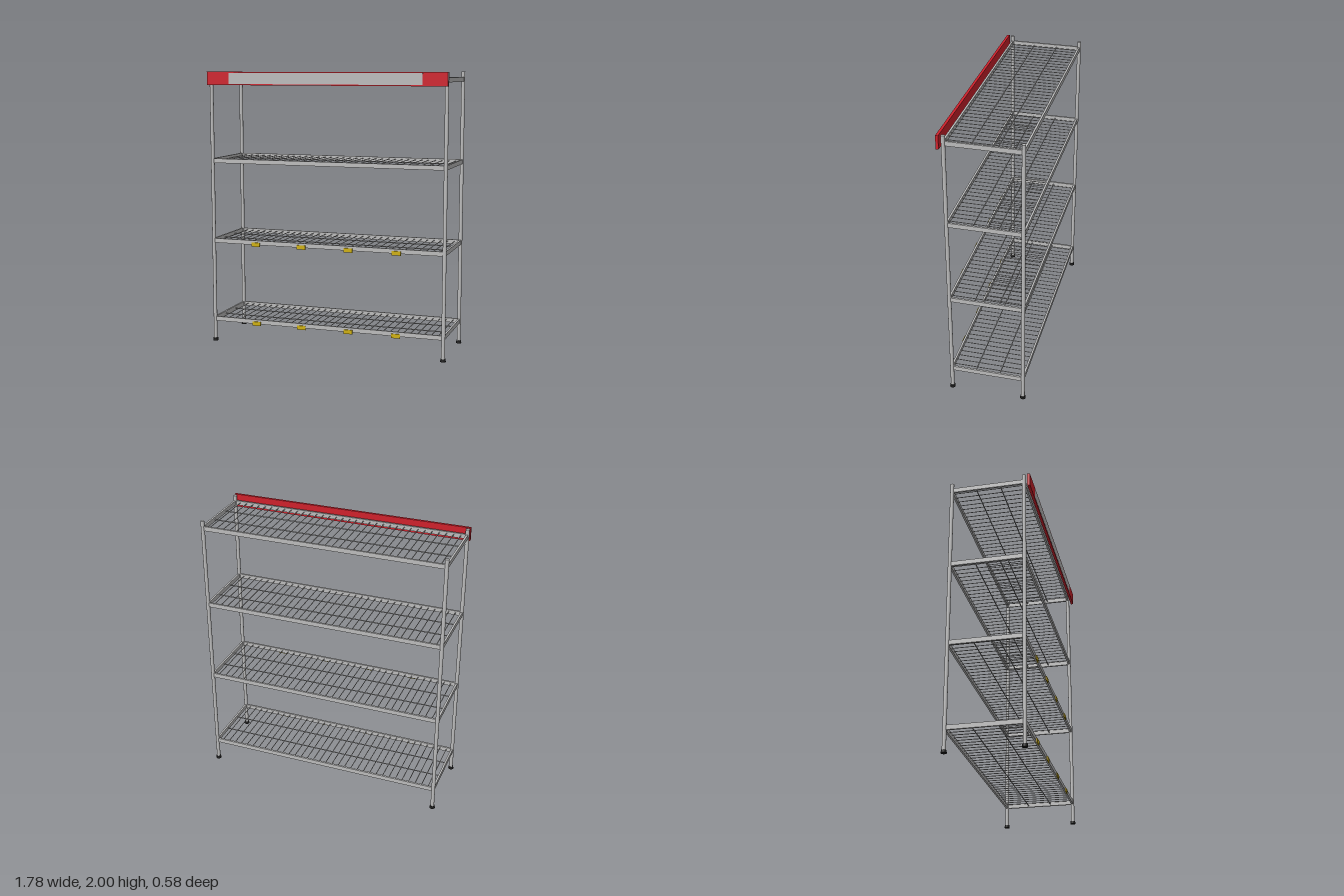
import * as THREE from 'three';

const material = (name, color) => {
  const m = new THREE.MeshStandardMaterial({ color });
  m.name = name;
  return m;
};

export function createModel() {
  const steel = material('steel', 0xbcbcbc);
  const red = material('red', 0xcf202b);
  const yellow = material('yellow', 0xcfb010);
  const black = material('black rubber', 0x1c1c1c);

  const model = new THREE.Group();
  model.name = 'shelvingRack';

  const X = 0.872, FRONT = 0.245, BACK = -0.271;
  const MID = (FRONT + BACK) / 2, DEPTH = FRONT - BACK;

  const add = (parent, name, geometry, mat, x, y, z) => {
    const mesh = new THREE.Mesh(geometry, mat);
    mesh.name = name;
    mesh.position.set(x, y, z);
    parent.add(mesh);
    return mesh;
  };
  const box = (w, h, d) => new THREE.BoxGeometry(w, h, d);

  // Corner posts with rubber feet
  const postGeo = new THREE.CylinderGeometry(0.0135, 0.0135, 1.99, 16);
  const footGeo = new THREE.CylinderGeometry(0.0175, 0.02, 0.02, 16);
  for (const x of [-X, X]) {
    for (const z of [FRONT, BACK]) {
      add(model, 'post', postGeo, steel, x, 1.005, z);
      add(model, 'foot', footGeo, black, x, 0.01, z);
    }
  }

  // Shelves: rectangular frame filled with a wire grid
  const longRail = box(2 * X, 0.032, 0.014);
  const sideRail = box(0.014, 0.032, DEPTH);
  const crossWire = new THREE.CylinderGeometry(0.003, 0.003, DEPTH, 6).rotateX(Math.PI / 2);
  const longWire = new THREE.CylinderGeometry(0.004, 0.004, 2 * X, 6).rotateZ(Math.PI / 2);
  const tagGeo = box(0.064, 0.03, 0.008);
  const WIRES = 34, STEP = 0.0502;

  for (let level = 0; level < 4; level++) {
    const shelf = new THREE.Group();
    shelf.name = 'shelf';
    shelf.position.y = 0.169 + level * 0.5925;
    model.add(shelf);

    for (const z of [FRONT, BACK]) add(shelf, 'longRail', longRail, steel, 0, 0, z);
    for (const x of [-X, X]) add(shelf, 'sideRail', sideRail, steel, x, 0, MID);
    for (let i = 0; i < WIRES; i++) {
      add(shelf, 'crossWire', crossWire, steel, (i - (WIRES - 1) / 2) * STEP, 0.003, MID);
    }
    for (const t of [1 / 3, 2 / 3]) {
      add(shelf, 'longWire', longWire, steel, 0, -0.003, BACK + DEPTH * t);
    }

    // Price tags on the two lower shelves
    if (level < 2) {
      for (const x of [-0.532, -0.178, 0.178, 0.532]) {
        add(shelf, 'priceTag', tagGeo, yellow, x, -0.013, 0.257);
      }
    }
  }

  // Header board with a plain grey centre panel
  add(model, 'headerBoard', box(1.774, 0.095, 0.019), red, 0, 1.9525, 0.28);
  add(model, 'headerPanel', box(1.428, 0.079, 0.003), steel, 0, 1.9525, 0.2895);

  return model;
}
